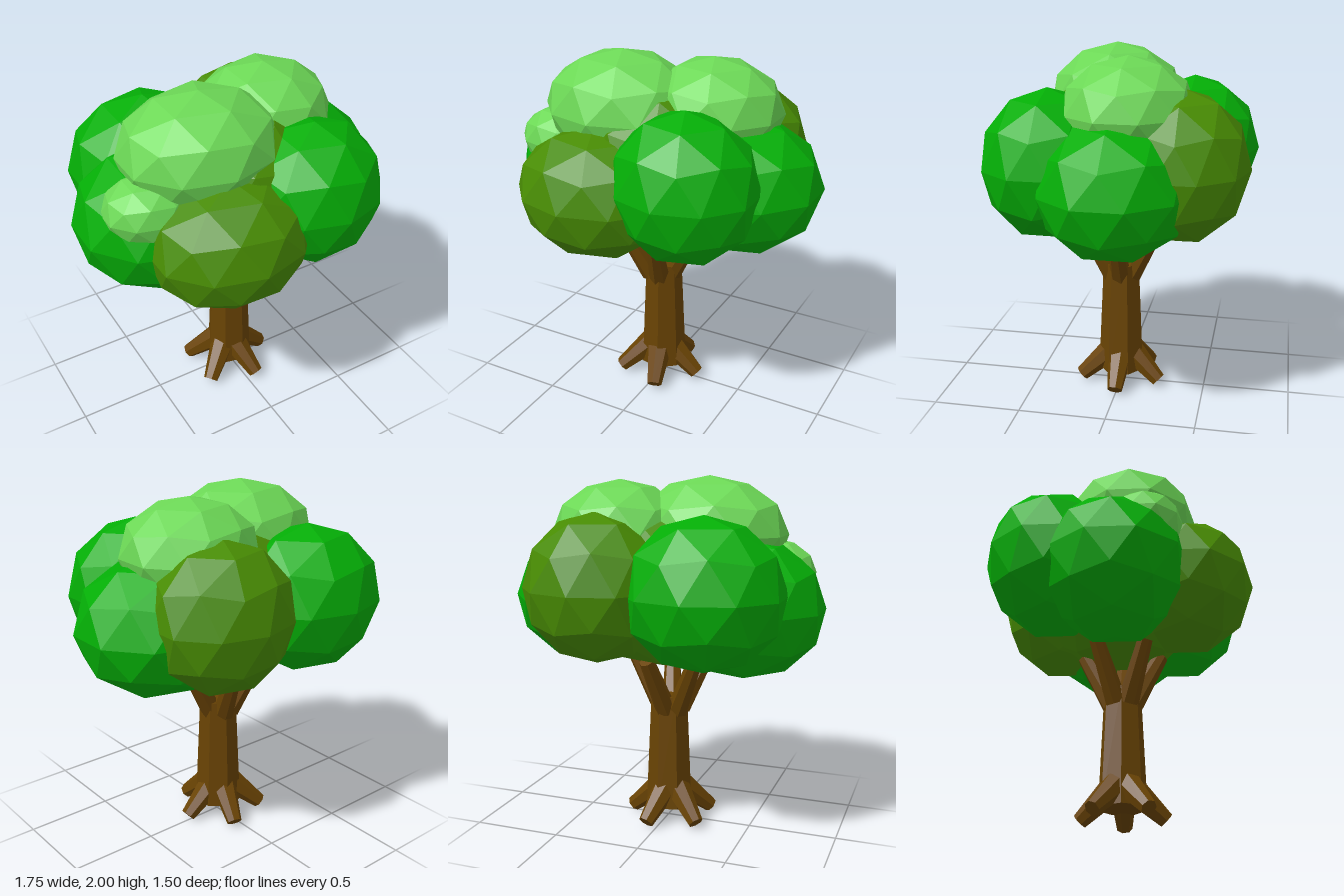
import * as THREE from 'three';

const colour = (name, hex) => {
  const m = new THREE.MeshStandardMaterial({ color: hex });
  m.name = name;
  return m;
};

// Non-indexed copy with one normal per face, for the faceted look
function faceted(geo) {
  const g = geo.index ? geo.toNonIndexed() : geo;
  g.computeVertexNormals();
  return g;
}

export function createModel() {
  const bark = colour('bark brown', 0x694303);
  const light = colour('light leaf green', 0x6cd856);
  const green = colour('leaf green', 0x04ae06);
  const olive = colour('olive leaf green', 0x488c03);

  const tree = new THREE.Group();
  tree.name = 'tree';

  const add = (parent, name, geo, mat) => {
    const mesh = new THREE.Mesh(faceted(geo), mat);
    mesh.name = name;
    parent.add(mesh);
  };

  const group = (name) => {
    const g = new THREE.Group();
    g.name = name;
    tree.add(g);
    return g;
  };

  // Leaf clump: an icosphere standing on a pole, stretched to an ellipsoid
  const foliage = group('foliage');
  const clump = (name, mat, [x, y, z], [rx, ry, rz]) => {
    const g = new THREE.IcosahedronGeometry(1, 1);
    g.rotateX(-Math.atan((1 + Math.sqrt(5)) / 2));
    g.rotateY(Math.PI / 2);
    g.scale(rx, ry, rz);
    g.translate(x, y, z);
    add(foliage, name, g, mat);
  };
  clump('topLeafClumpLarge', light, [-0.217, 1.68, 0.065], [0.449, 0.32, 0.382]);
  clump('topLeafClumpMedium', light, [0.255, 1.69, -0.085], [0.388, 0.29, 0.36]);
  clump('sideLeafClumpSmall', light, [-0.56, 1.475, 0.145], [0.25, 0.185, 0.215]);
  clump('frontLeafClumpGreen', green, [0.3, 1.4, 0.34], [0.405, 0.41, 0.365]);
  clump('leftLeafClump', green, [0.43, 1.32, -0.045], [0.468, 0.385, 0.425]);
  clump('rightLeafClump', green, [-0.45, 1.29, -0.02], [0.449, 0.4, 0.42]);
  clump('backLeafClumpGreen', green, [-0.324, 1.4, -0.37], [0.444, 0.41, 0.38]);
  clump('frontLeafClumpOlive', olive, [-0.217, 1.29, 0.37], [0.449, 0.36, 0.376]);
  clump('backLeafClumpOlive', olive, [0.277, 1.41, -0.377], [0.407, 0.41, 0.36]);
  clump('coreLeafClump', olive, [0.03, 1.395, 0], [0.5, 0.475, 0.52]);

  // Seven-sided tapered trunk
  const trunk = new THREE.CylinderGeometry(0.107, 0.137, 0.67, 7, 1, false, -Math.PI / 2);
  trunk.translate(-0.007, 0.42, 0);
  add(tree, 'trunk', trunk, bark);

  // Tapered limb between two points
  const limb = (parent, name, from, to, r0, r1) => {
    const dir = to.clone().sub(from);
    const g = new THREE.CylinderGeometry(r1, r0, dir.length(), 7);
    g.applyQuaternion(new THREE.Quaternion().setFromUnitVectors(
      new THREE.Vector3(0, 1, 0), dir.clone().normalize()));
    g.translate(...from.clone().add(to).multiplyScalar(0.5).toArray());
    add(parent, name, g, bark);
  };

  // Five roots below and five branches above, spread evenly around the trunk
  const roots = group('roots');
  const branches = group('branches');
  for (let i = 0; i < 5; i++) {
    const a = (i * Math.PI * 2) / 5;
    const at = (r, y) => new THREE.Vector3(r * Math.cos(a) - 0.02, y, r * Math.sin(a));
    limb(roots, 'root', at(0.06, 0.195), at(0.245, 0.037), 0.075, 0.044);
    limb(branches, 'branch', at(0.055, 0.67), at(0.23, 0.99), 0.062, 0.043);
  }

  return tree;
}
